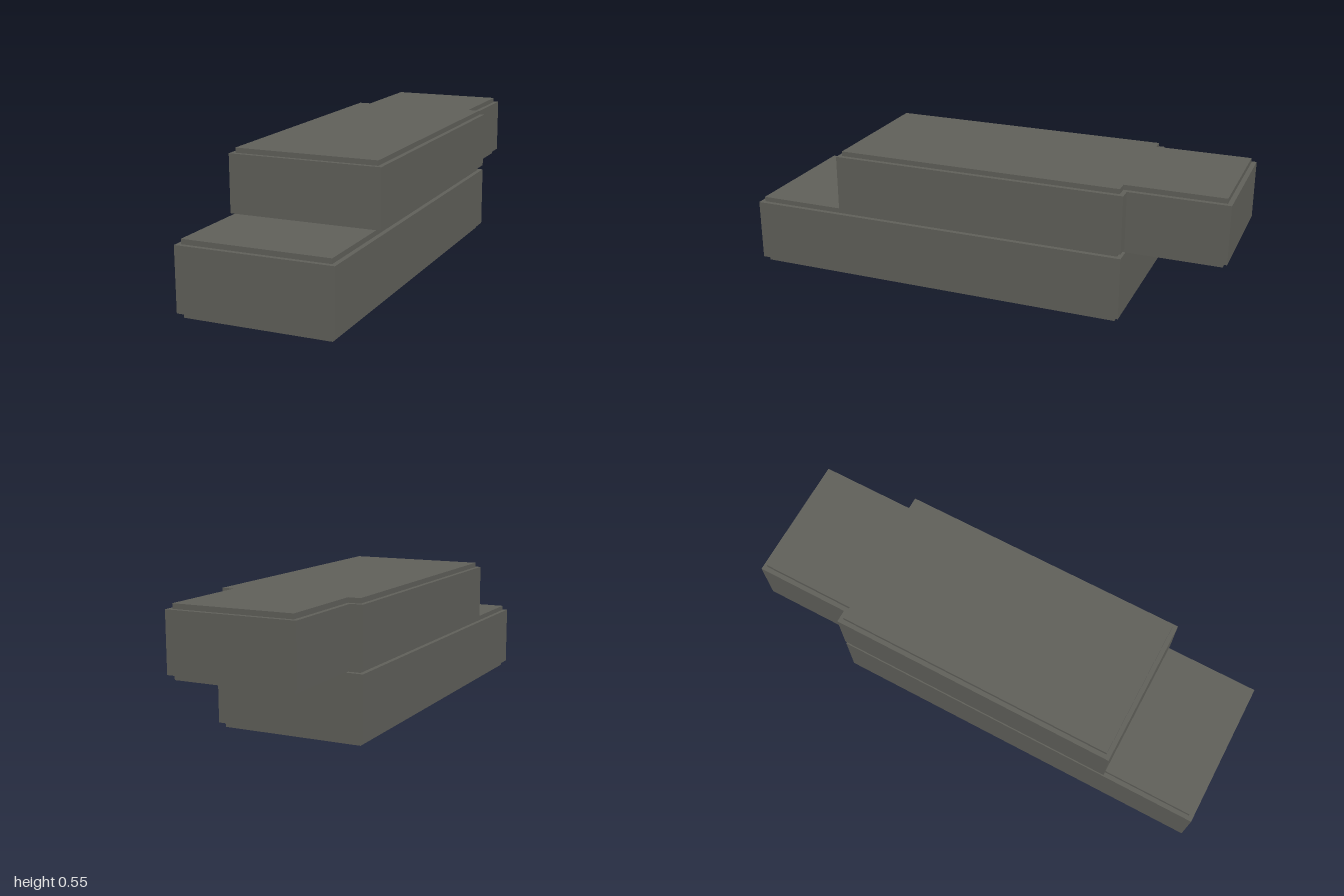
import * as THREE from 'three';

const INSET = 0.0185; // step between a body and its end plates
const LIP = 0.02;     // plate thickness

const gunmetal = new THREE.MeshStandardMaterial({ color: 0x60605a });
gunmetal.name = 'darkGrey';

// Plan outline: z from back to front, narrowing to a tongue behind `shoulder` if given
function outline({ half, front, back, tongue, shoulder }, d) {
  const h = half - d, f = front - d, b = back + d;
  const side = tongue
    ? [[h, f], [h, shoulder + d], [tongue - d, shoulder + d], [tongue - d, b]]
    : [[h, f], [h, b]];
  const mirrored = side.map(([x, z]) => [-x, z]).reverse();
  return new THREE.Shape([...side, ...mirrored].map(([x, z]) => new THREE.Vector2(x, -z)));
}

// Extrude the outline upward between two heights
function slab(name, plan, inset, y0, y1) {
  const geo = new THREE.ExtrudeGeometry(outline(plan, inset), { depth: y1 - y0, bevelEnabled: false });
  geo.rotateX(-Math.PI / 2);
  geo.translate(0, y0, 0);
  const mesh = new THREE.Mesh(geo, gunmetal);
  mesh.name = name;
  return mesh;
}

// Body with a slightly smaller plate above and below
function block(name, plan, y0, y1) {
  const g = new THREE.Group();
  g.name = name;
  g.add(
    slab(name + 'BottomPlate', plan, INSET, y0, y0 + LIP),
    slab(name + 'Body', plan, 0, y0 + LIP, y1 - LIP),
    slab(name + 'TopPlate', plan, INSET, y1 - LIP, y1)
  );
  return g;
}

export function createModel() {
  const model = new THREE.Group();
  model.name = 'stackedBlocks';
  model.add(
    block('lowerBlock', { half: 0.313, front: 1, back: -0.607 }, 0, 0.295),
    block('upperBlock', { half: 0.313, front: 0.607, back: -1, tongue: 0.262, shoulder: -0.607 }, 0.275, 0.55)
  );
  return model;
}
